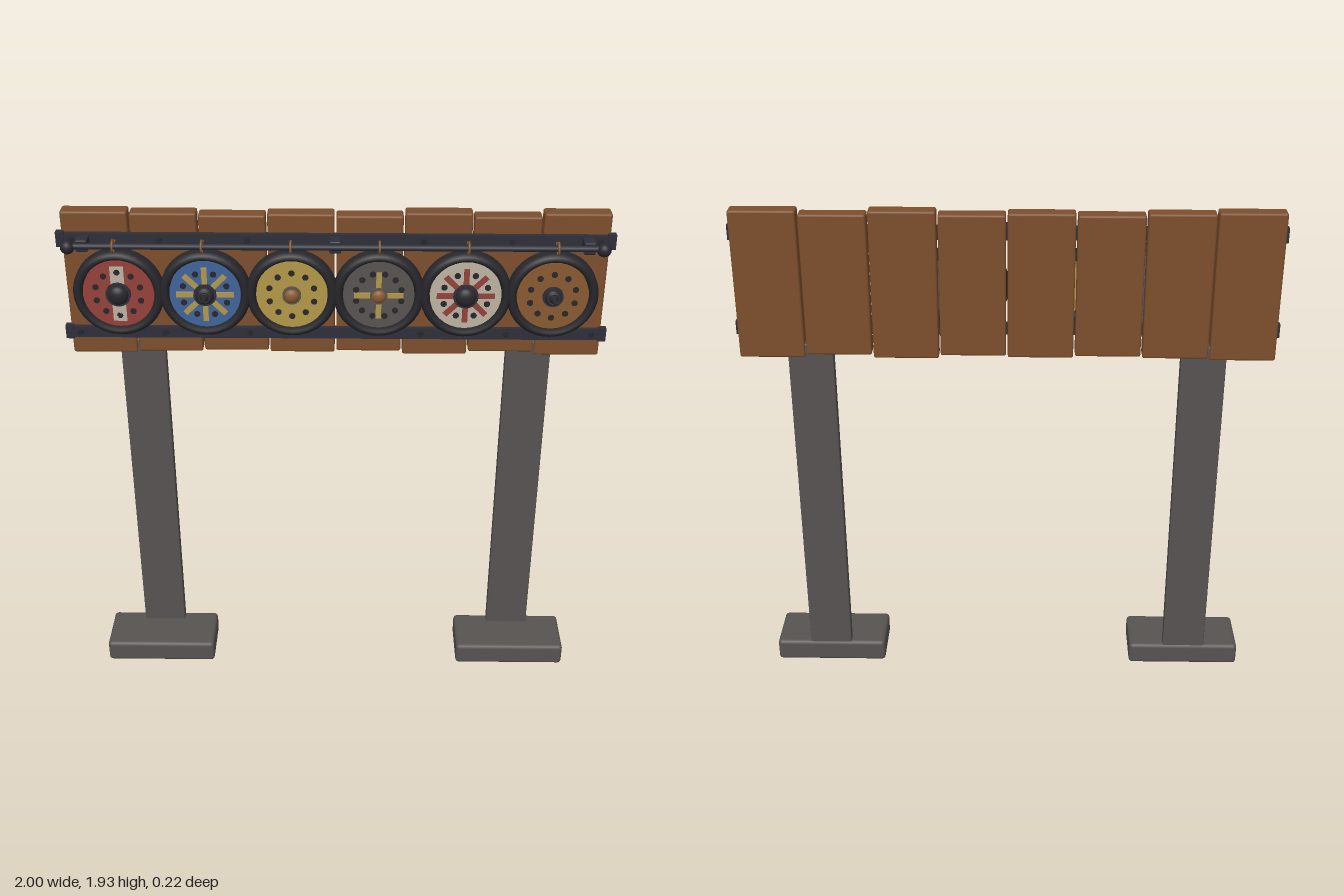
import * as THREE from 'three';
import { RoundedBoxGeometry } from 'three/addons/geometries/RoundedBoxGeometry.js';

const mat = (name, color) => Object.assign(new THREE.MeshStandardMaterial({ color }), { name });

export function createModel() {
  const wood = mat('wood', 0x7d4f2d), stone = mat('stone', 0x575351), iron = mat('iron', 0x2e2f39);
  const rubber = mat('rubber', 0x27272c), red = mat('red', 0x964039), blue = mat('blue', 0x3f639c);
  const yellow = mat('yellow', 0xb39848), cream = mat('cream', 0xbdb3a2), bronze = mat('bronze', 0x8a5a30);

  const model = new THREE.Group();
  model.name = 'shieldRackSign';
  const add = (parent, name, geometry, material, x = 0, y = 0, z = 0) => {
    const mesh = new THREE.Mesh(geometry, material);
    mesh.name = name;
    mesh.position.set(x, y, z);
    parent.add(mesh);
    return mesh;
  };
  const rounded = (w, h, d, r) => new RoundedBoxGeometry(w, h, d, 2, r);
  // Cylinder whose axis points to the front
  const disc = (r, d, n = 32, back = r) => new THREE.CylinderGeometry(r, back, d, n).rotateX(Math.PI / 2);

  // Board of uneven upright planks
  const tops = [1.93, 1.925, 1.918, 1.924, 1.918, 1.93, 1.917, 1.93];
  const bottoms = [1.37, 1.376, 1.382, 1.376, 1.382, 1.37, 1.382, 1.37];
  tops.forEach((top, i) => {
    const bottom = bottoms[i];
    add(model, 'plank', rounded(0.24, top - bottom, 0.063, 0.008), wood,
      (i - 3.5) * 0.2463, (top + bottom) / 2, -0.0785);
  });

  // Posts and feet
  for (const s of [-1, 1]) {
    add(model, 'post', rounded(0.167, 1.37, 0.043, 0.005), stone, s * 0.723, 0.735, -0.08);
    add(model, 'foot', rounded(0.44, 0.09, 0.215, 0.015), stone, s * 0.723, 0.045, 0);
  }

  // Flat rails with bolts
  for (const [y, h] of [[1.831, 0.048], [1.464, 0.044]]) {
    add(model, 'rail', new THREE.BoxGeometry(1.99, h, 0.02), iron, 0, y, -0.04);
    for (const s of [-1, 1]) {
      add(model, 'railEnd', new THREE.BoxGeometry(0.03, h + 0.008, 0.026), iron, s * 0.985, y, -0.04);
      for (const x of [0.945, 0.63, 0.315]) {
        add(model, 'bolt', disc(0.011, 0.01, 10), rubber, s * x, y, -0.027);
      }
    }
  }

  // Hanging rod, its brackets, end knobs and hooks
  const rodY = 1.828, rodZ = 0.022;
  add(model, 'rod', new THREE.CylinderGeometry(0.011, 0.011, 1.9, 12).rotateZ(Math.PI / 2), iron, 0, rodY, rodZ);
  for (const x of [-0.9, 0, 0.9]) {
    add(model, 'bracket', rounded(0.042, 0.045, 0.07, 0.005), iron, x, rodY, -0.01);
  }
  for (const s of [-1, 1]) {
    add(model, 'knob', new THREE.SphereGeometry(0.026, 16, 12), rubber, s * 0.95, rodY - 0.003, rodZ);
  }

  // Painted wheels: face colour, hub colour, hub radius, spike and decoration
  const wheels = [
    { face: red, hub: rubber, hubR: 0.042, holes: 10, stripe: cream },
    { face: blue, hub: rubber, hubR: 0.038, holes: 8, spokes: 8, paint: yellow, spike: true },
    { face: yellow, hub: bronze, hubR: 0.03, holes: 10 },
    { face: stone, hub: bronze, hubR: 0.028, holes: 12, spokes: 4, paint: yellow },
    { face: cream, hub: rubber, hubR: 0.042, holes: 8, spokes: 8, paint: red },
    { face: bronze, hub: rubber, hubR: 0.034, holes: 10, spike: true },
  ];
  const tyreProfile = [[0.128, -0.02], [0.133, 0.02], [0.142, 0.03], [0.155, 0.028], [0.165, 0.015], [0.165, -0.02]]
    .map(([r, h]) => new THREE.Vector2(r, h)).reverse();

  wheels.forEach((w, i) => {
    const wheel = new THREE.Group();
    wheel.name = 'wheel';
    const x = (i - 2.5) * 0.3155;
    wheel.position.set(x, 1.629, -0.027);
    model.add(wheel);

    const tyreMesh = add(wheel, 'tyre', new THREE.LatheGeometry(tyreProfile, 40).rotateX(Math.PI / 2), rubber);
    tyreMesh.material = rubber;
    rubber.side = THREE.DoubleSide;
    add(wheel, 'face', disc(0.13, 0.034), w.face);

    // Ring of dark holes
    for (let k = 0; k < w.holes; k++) {
      const a = ((k + 0.5) / w.holes) * Math.PI * 2;
      add(wheel, 'hole', disc(0.0115, 0.004, 12), rubber, Math.cos(a) * 0.085, Math.sin(a) * 0.085, 0.018);
    }
    // Painted stripe or spokes
    if (w.stripe) add(wheel, 'stripe', new THREE.BoxGeometry(0.05, 0.215, 0.005), w.stripe, 0, 0, 0.0175);
    for (let k = 0; k < (w.spokes || 0); k++) {
      const a = (k / w.spokes) * Math.PI * 2;
      const length = w.spokes > 4 ? 0.075 : 0.06, r = 0.03 + length / 2;
      add(wheel, 'spoke', new THREE.BoxGeometry(length, 0.02, 0.008), w.paint,
        Math.cos(a) * r, Math.sin(a) * r, 0.019).rotation.z = a;
    }
    // Hub, boss and optional spike
    add(wheel, 'hubPlate', disc(w.hubR + 0.004, 0.012, 24), w.hub === bronze ? stone : iron, 0, 0, 0.022);
    const dome = new THREE.SphereGeometry(w.hubR, 20, 8, 0, Math.PI * 2, 0, Math.PI / 2).rotateX(Math.PI / 2);
    dome.scale(0.9, 0.9, 0.6);
    add(wheel, 'hub', dome, w.hub, 0, 0, 0.028);
    if (w.spike) {
      add(wheel, 'hubRing', new THREE.TorusGeometry(0.02, 0.005, 8, 20), iron, 0, 0, 0.044);
      add(wheel, 'spike', disc(0.001, 0.05, 12, 0.015), rubber, 0, 0, 0.07);
    }
    // Hook over the rod
    add(model, 'hook', new THREE.TorusGeometry(0.022, 0.004, 8, 20).rotateY(Math.PI / 2), bronze, x, rodY, rodZ);
    add(model, 'hookStem', new THREE.BoxGeometry(0.007, 0.007, 0.035), bronze, x, rodY, -0.015);
  });
  return model;
}
